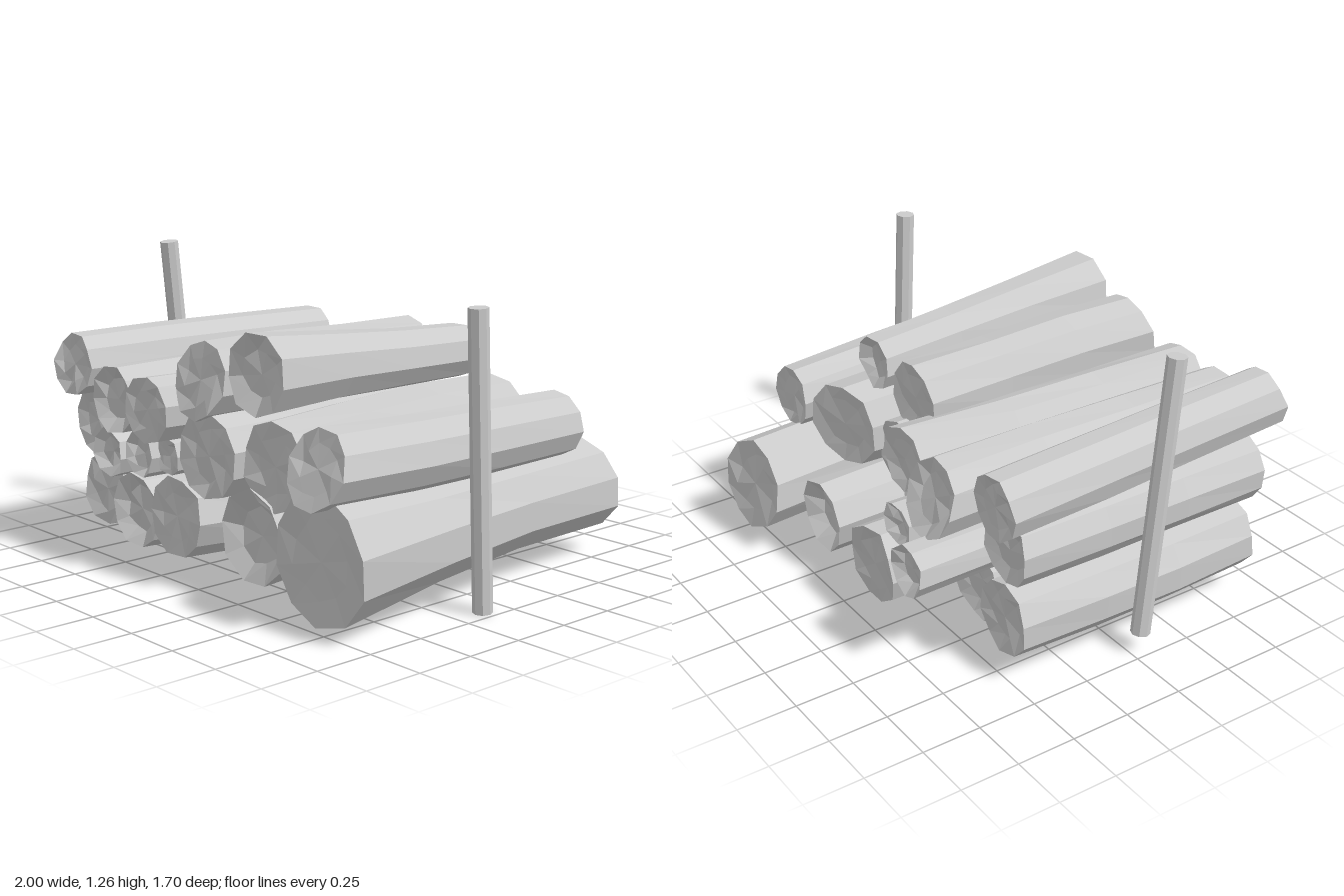
import * as THREE from 'three';

const material = new THREE.MeshStandardMaterial({ color: 0xcccccc, flatShading: true });

// Small seeded generator returning -1..1
function makeRandom(seed) {
  let s = seed * 7919 + 17;
  return () => {
    s = (s * 16807) % 2147483647;
    return (s / 2147483647) * 2 - 1;
  };
}

// Low-poly log: faceted rings from front to back, with hacked, dished ends.
// front and back are [x, y, z, radius]; the tilts slant each cut along x and y.
function makeLog(name, front, back, { sides = 10, waist = 1, seed = 1, dish = 0.01, frontTilt = [0, 0], backTilt = [0, 0] }) {
  const random = makeRandom(seed);
  const turn = random();
  const wobble = Array.from({ length: sides }, () => 1 + random() * 0.03);
  const points = [];
  const faces = [];
  const addRing = (t, scale, inset, rough) => {
    const c = front.map((v, i) => THREE.MathUtils.lerp(v, back[i], t));
    const middle = t > 0 && t < 1;
    const r = c[3] * scale * (middle ? waist : 1);
    const tilt = middle ? [0, 0] : t === 0 ? frontTilt : backTilt;
    const sway = middle ? 0.006 : 0;
    const ox = random() * sway, oy = random() * sway;
    for (let i = 0; i < sides; i++) {
      const a = turn + (i / sides) * Math.PI * 2;
      const k = r * wobble[i] * (1 + random() * rough);
      const dx = Math.cos(a) * k, dy = Math.sin(a) * k;
      const chip = middle ? 0 : random() * 0.01;
      points.push(c[0] + dx + ox, c[1] + dy + oy, c[2] + inset + dx * tilt[0] + dy * tilt[1] + chip);
    }
  };
  // Inner cap ring, bark rings, inner cap ring
  addRing(0, 0.6, -dish, 0.12);
  for (const t of [0, 0.34, 0.66, 1]) addRing(t, 1, 0, 0.02);
  addRing(1, 0.6, dish, 0.12);
  const frontCentre = points.length / 3;
  points.push(front[0], front[1], front[2] - dish * 1.1);
  points.push(back[0], back[1], back[2] + dish * 1.1);
  for (let i = 0; i < sides; i++) {
    const j = (i + 1) % sides;
    for (let k = 0; k < 5; k++) {
      const a = k * sides + i, b = k * sides + j;
      faces.push(a, a + sides, b, b, a + sides, b + sides);
    }
    faces.push(frontCentre, i, j, frontCentre + 1, 5 * sides + j, 5 * sides + i);
  }
  const geometry = new THREE.BufferGeometry();
  geometry.setAttribute('position', new THREE.Float32BufferAttribute(points, 3));
  geometry.setIndex(faces);
  const flat = geometry.toNonIndexed();
  flat.computeVertexNormals();
  const mesh = new THREE.Mesh(flat, material);
  mesh.name = name;
  return mesh;
}

// Upright stake between two points
function makeStake(name, bottom, top, radius) {
  const a = new THREE.Vector3(...bottom), b = new THREE.Vector3(...top);
  const direction = b.clone().sub(a);
  const mesh = new THREE.Mesh(new THREE.CylinderGeometry(radius, radius, direction.length(), 8, 3), material);
  mesh.position.copy(a).add(b).multiplyScalar(0.5);
  mesh.quaternion.setFromUnitVectors(new THREE.Vector3(0, 1, 0), direction.normalize());
  mesh.name = name;
  return mesh;
}

// Each log: front [x, y, z, radius], back [x, y, z, radius], options
const rows = {
  bottomLog: [
    [[-0.76, 0.25, 0.66, 0.155], [-0.76, 0.25, -0.48, 0.155], { waist: 1.04 }],
    [[-0.455, 0.23, 0.72, 0.158], [-0.43, 0.19, -0.38, 0.163], { dish: 0.03 }],
    [[-0.145, 0.27, 0.75, 0.168], [-0.095, 0.2, -0.66, 0.17], {}],
    [[0.275, 0.26, 0.7, 0.19], [0.26, 0.26, -0.69, 0.155], { sides: 9, waist: 0.95, dish: 0.05 }],
    [[0.748, 0.285, 0.77, 0.255], [0.61, 0.29, -0.83, 0.2], { waist: 0.9, backTilt: [-0.1, 0.12] }],
  ],
  middleLog: [
    [[-0.775, 0.55, 0.7, 0.14], [-0.79, 0.57, -0.49, 0.14], { dish: 0.02 }],
    [[-0.55, 0.47, 0.79, 0.105], [-0.55, 0.46, -0.78, 0.108], { sides: 9, dish: 0.03 }],
    [[-0.345, 0.495, 0.78, 0.1], [-0.29, 0.49, -0.66, 0.095], { sides: 9, dish: 0.03 }],
    [[-0.185, 0.51, 0.75, 0.078], [-0.17, 0.51, -0.5, 0.078], { sides: 8 }],
    [[0.055, 0.55, 0.74, 0.175], [0.06, 0.55, -0.42, 0.165], {}],
    [[0.41, 0.565, 0.7, 0.178], [0.37, 0.59, -0.51, 0.178], { waist: 1.07, backTilt: [-0.28, 0] }],
    [[0.765, 0.64, 0.8, 0.148], [0.7, 0.6, -0.57, 0.133], { waist: 1.03, frontTilt: [0, -0.3] }],
  ],
  topLog: [
    [[-0.74, 0.815, 0.82, 0.13], [-0.795, 0.785, -0.55, 0.135], { frontTilt: [0, -0.12] }],
    [[-0.49, 0.7, 0.8, 0.14], [-0.495, 0.7, -0.64, 0.153], { dish: 0.03, backTilt: [0, 0.28] }],
    [[-0.235, 0.7, 0.82, 0.135], [-0.17, 0.69, -0.55, 0.137], {}],
    [[0.01, 0.845, 0.74, 0.157], [0.015, 0.83, -0.38, 0.155], { frontTilt: [0, -0.22] }],
    [[0.345, 0.91, 0.73, 0.165], [0.305, 0.87, -0.39, 0.115], { sides: 9, waist: 0.93, dish: 0.03 }],
  ],
};

export function createModel() {
  const model = new THREE.Group();
  model.name = 'logPile';
  let seed = 1;
  for (const [name, logs] of Object.entries(rows)) {
    logs.forEach(([front, back, options], i) => {
      model.add(makeLog(`${name}${i + 1}`, front, back, { ...options, seed: seed++ }));
    });
  }
  // Stakes holding the pile at both ends
  model.add(makeStake('rightStake', [-0.96, 0.09, 0.04], [-0.94, 1.26, 0.17], 0.04));
  model.add(makeStake('leftStake', [0.948, 0.003, 0.12], [0.957, 1.18, 0.18], 0.04));
  return model;
}
